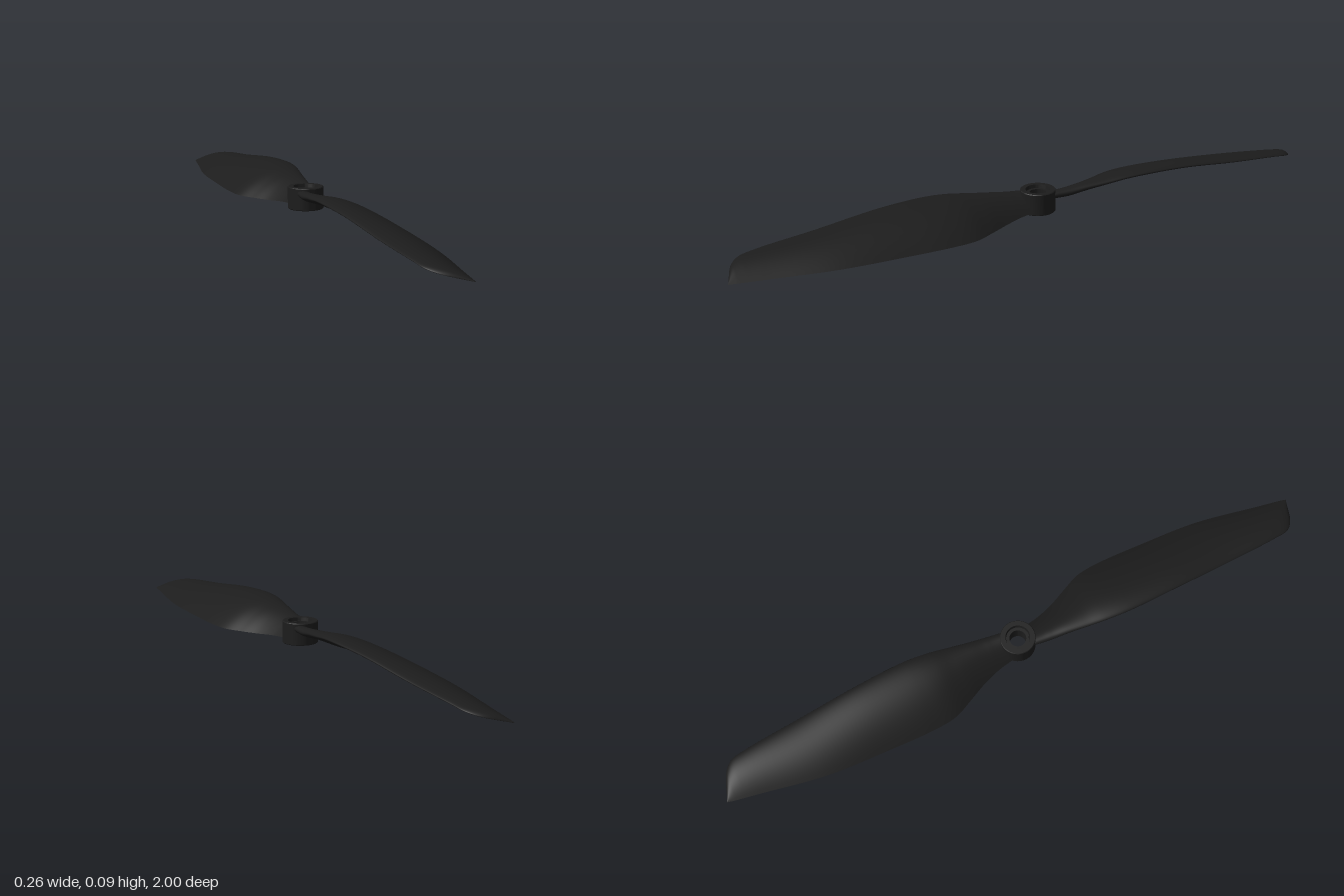
import * as THREE from 'three';
import { toCreasedNormals } from 'three/addons/utils/BufferGeometryUtils.js';

const material = new THREE.MeshStandardMaterial({ color: 0x1c1c1c, side: THREE.DoubleSide });

// Blade stations from root to tip:
// leading x, leading y, leading z, trailing x, trailing y, trailing z, thickness
const STATIONS = [
  [-0.040, 0.052, 0.030, 0.040, 0.012, 0.030, 0.026],
  [-0.049, 0.054, 0.090, 0.050, 0.008, 0.090, 0.030],
  [-0.057, 0.062, 0.150, 0.069, 0.003, 0.150, 0.028],
  [-0.067, 0.069, 0.210, 0.096, 0.001, 0.210, 0.026],
  [-0.077, 0.077, 0.275, 0.123, 0.000, 0.275, 0.024],
  [-0.083, 0.080, 0.350, 0.130, 0.000, 0.350, 0.023],
  [-0.081, 0.074, 0.500, 0.125, 0.000, 0.500, 0.020],
  [-0.073, 0.052, 0.700, 0.111, 0.000, 0.700, 0.016],
  [-0.064, 0.036, 0.880, 0.073, 0.000, 0.890, 0.012],
  [-0.056, 0.028, 0.935, 0.062, 0.000, 0.945, 0.010],
  [-0.030, 0.019, 0.965, 0.056, 0.000, 0.975, 0.007],
  [0.046, 0.001, 0.998, 0.050, 0.000, 1.000, 0.001],
];

// Twisted, cambered aerofoil lofted between the leading and trailing edge curves
function bladeGeometry() {
  const curve = (o) => new THREE.CatmullRomCurve3(
    STATIONS.map((s) => new THREE.Vector3(s[o], s[o + 1], s[o + 2])), false, 'centripetal');
  const leading = curve(0), trailing = curve(3);
  const rows = 88, half = 18, ring = half * 2 + 1;
  const positions = [], index = [];
  for (let j = 0; j <= rows; j++) {
    const v = j / rows;
    const a = leading.getPoint(v), b = trailing.getPoint(v);
    const f = v * (STATIONS.length - 1);
    const k = Math.min(Math.floor(f), STATIONS.length - 2);
    const thick = THREE.MathUtils.lerp(STATIONS[k][6], STATIONS[k + 1][6], f - k);
    const camber = 0.1 * a.distanceTo(b);
    for (let i = 0; i < ring; i++) {
      // trailing edge -> over the top -> leading edge -> underneath -> trailing edge
      const c = Math.abs(i - half) / half;
      const t = c * c * (2 - c) * 0.6 + c * 0.4 * c;
      const side = i < half ? 1 : -1;
      const p = a.clone().lerp(b, t);
      p.y += 4 * camber * t * (1 - t) + side * thick * 1.3 * Math.sqrt(t) * (1 - t);
      positions.push(p.x, Math.max(p.y, 0), p.z);
    }
  }
  for (let j = 0; j < rows; j++) {
    for (let i = 0; i < ring - 1; i++) {
      const p = j * ring + i, q = p + ring;
      index.push(p, p + 1, q, p + 1, q + 1, q);
    }
  }
  const g = new THREE.BufferGeometry();
  g.setAttribute('position', new THREE.Float32BufferAttribute(positions, 3));
  g.setIndex(index);
  g.computeVertexNormals();
  return g;
}

// Hub ring with a shaft hole and a shallow recess at each end
function hubGeometry() {
  const profile = [
    [0.026, 0.008], [0.037, 0.008], [0.037, 0], [0.053, 0], [0.055, 0.002],
    [0.055, 0.067], [0.053, 0.069], [0.038, 0.069], [0.036, 0.058], [0.026, 0.058], [0.026, 0.008],
  ].map(([r, y]) => new THREE.Vector2(r, y));
  return toCreasedNormals(new THREE.LatheGeometry(profile, 48), 0.5);
}

export function createModel() {
  const model = new THREE.Group();
  model.name = 'propeller';

  const hub = new THREE.Mesh(hubGeometry(), material);
  hub.name = 'hub';
  model.add(hub);

  // Two identical blades, half a turn apart
  const geometry = bladeGeometry();
  ['frontBlade', 'backBlade'].forEach((name, n) => {
    const blade = new THREE.Mesh(geometry, material);
    blade.name = name;
    blade.rotation.y = n * Math.PI;
    model.add(blade);
  });
  return model;
}
